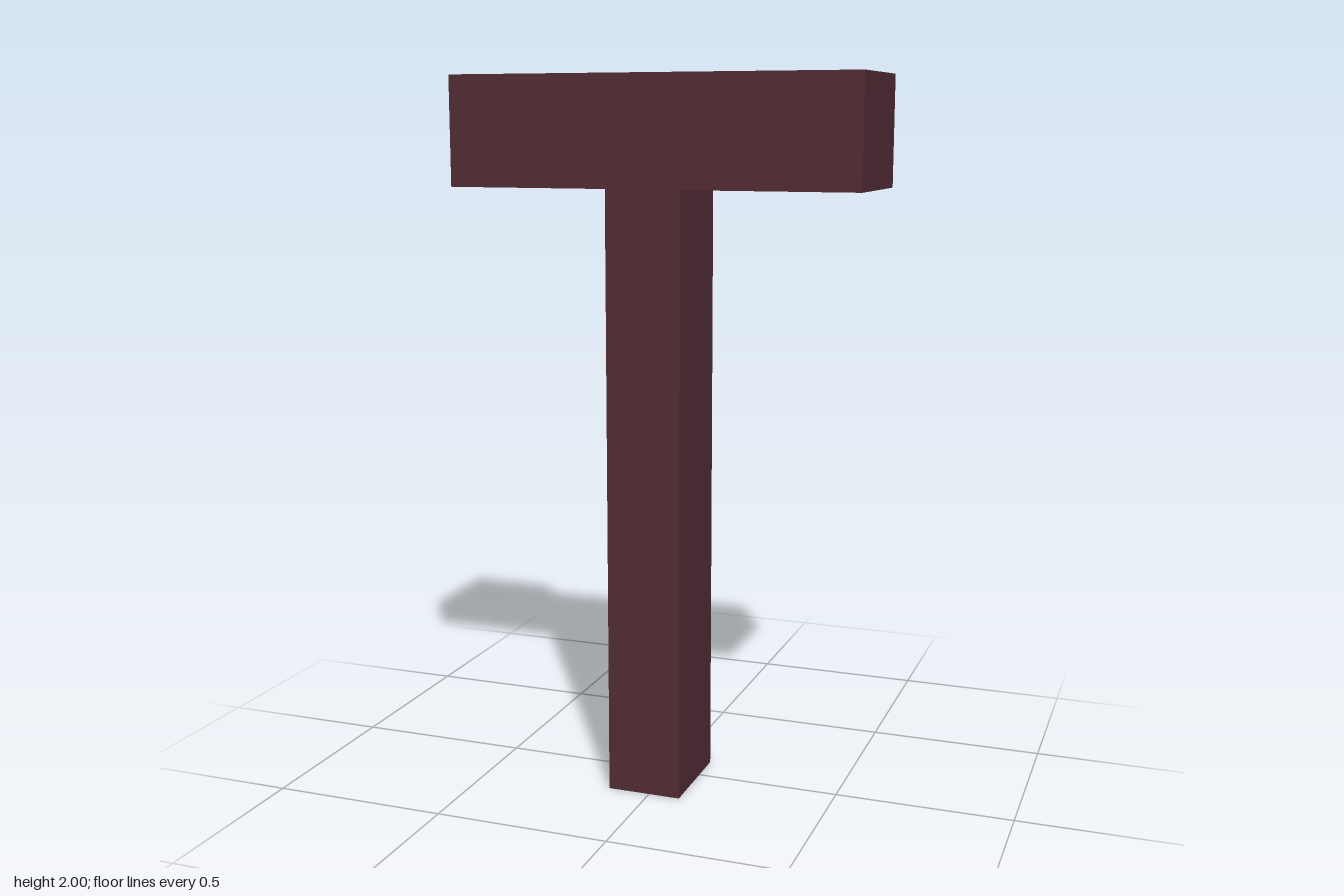
import * as THREE from 'three';

export function createModel() {
  const group = new THREE.Group();
  const paint = new THREE.MeshStandardMaterial({ color: 0x532d36, side: THREE.DoubleSide });
  paint.name = 'darkMaroon';

  const W = 0.578, F = 0.178, B = -0.178; // head half width, front and back
  const M = -0.1;                         // back of the recess and the post
  const N0 = -0.257, N1 = 0.303;          // recess sides
  const P0 = -0.121, P1 = 0.09;           // post sides
  const Y = 1.698, H = 2;                 // head underside and top

  const add = (name, geometry) => {
    const mesh = new THREE.Mesh(geometry, paint);
    mesh.name = name;
    group.add(mesh);
  };
  const sheet = (points) =>
    new THREE.ShapeGeometry(new THREE.Shape(points.map(([x, y]) => new THREE.Vector2(x, y))));
  // upright T-shaped sheet, head spanning x0 to x1
  const tee = (x0, x1) => sheet([
    [P0, 0], [P1, 0], [P1, Y], [x1, Y], [x1, H], [x0, H], [x0, Y], [P0, Y],
  ]);
  // upright wall across z at a given x, facing +x (dir 1) or -x (dir -1)
  const sideWall = (name, x, z0, z1, y0, y1, dir) => add(name,
    new THREE.PlaneGeometry(z1 - z0, y1 - y0)
      .rotateY(dir * Math.PI / 2)
      .translate(x, (y0 + y1) / 2, (z0 + z1) / 2));

  // front and recessed back
  add('frontPanel', tee(-W, W).translate(0, 0, F));
  add('backPanel', tee(N0, N1).rotateY(Math.PI).scale(-1, 1, 1).translate(0, 0, M));

  // head top and underside, the underside open above the hollow post
  const recess = [[N1, B], [N1, M], [N0, M], [N0, B]];
  add('headTop', sheet([[-W, F], [W, F], [W, B], ...recess, [-W, B]].map(([x, z]) => [x, -z]))
    .rotateX(-Math.PI / 2).translate(0, H, 0));
  add('headUnderside', sheet([
    [-W, F], [P0, F], [P0, M], [N0, M], [N0, B], [-W, B],
  ]).rotateX(Math.PI / 2).translate(0, Y, 0));
  add('headUnderside', sheet([
    [W, F], [P1, F], [P1, M], [N1, M], [N1, B], [W, B],
  ]).rotateX(Math.PI / 2).translate(0, Y, 0));

  // head ends, recess sides and post sides; the head backs and post foot stay open
  sideWall('headEndLeft', W, B, F, Y, H, 1);
  sideWall('headEndRight', -W, B, F, Y, H, -1);
  sideWall('recessSideLeft', N1, B, M, Y, H, -1);
  sideWall('recessSideRight', N0, B, M, Y, H, 1);
  sideWall('postSideLeft', P1, M, F, 0, Y, 1);
  sideWall('postSideRight', P0, M, F, 0, Y, -1);

  return group;
}
